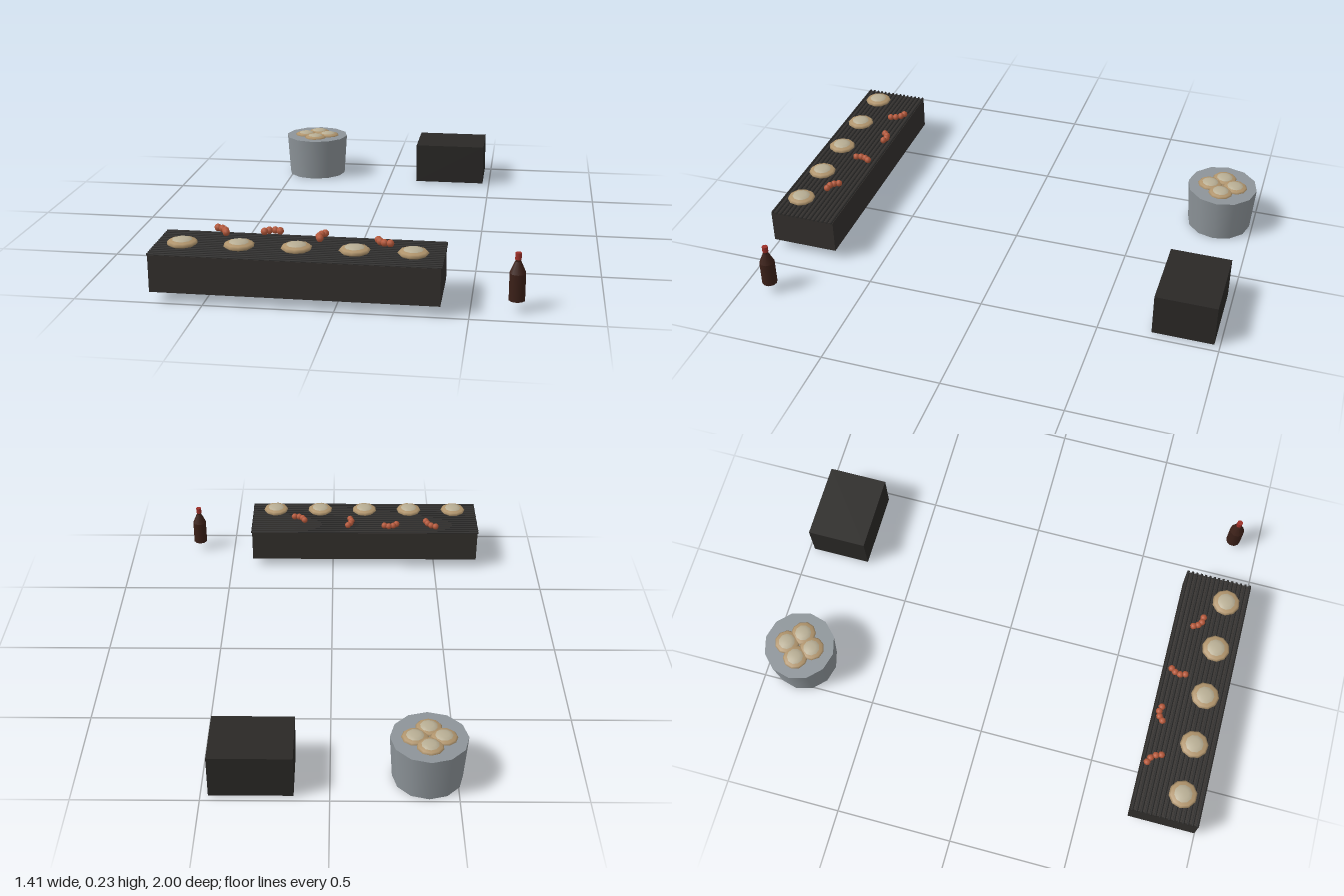
import * as THREE from 'three';

const mat = (color, flatShading = false) => {
  const m = new THREE.MeshStandardMaterial({ color });
  m.flatShading = flatShading;
  return m;
};
const MATS = {
  iron: mat(0x33302d),
  bars: mat(0x2b2a29),
  crate: mat(0x2a2826),
  steel: mat(0x8d9499),
  shell: mat(0xb0946c),
  meat: mat(0xb8ae94),
  shrimp: mat(0xb5583a),
  glass: mat(0x3b2018),
  cap: mat(0x9c2f28),
};

function part(parent, name, geometry, material, x = 0, y = 0, z = 0) {
  const mesh = new THREE.Mesh(geometry, material);
  mesh.name = name;
  mesh.position.set(x, y, z);
  parent.add(mesh);
  return mesh;
}

function group(parent, name, x = 0, y = 0, z = 0) {
  const g = new THREE.Group();
  g.name = name;
  g.position.set(x, y, z);
  parent.add(g);
  return g;
}

// Flat lens shell with a paler dome on top
const shellGeo = new THREE.SphereGeometry(0.06, 10, 6).scale(1, 0.27, 1);
const meatGeo = new THREE.SphereGeometry(0.043, 10, 6).scale(1, 0.33, 1);
function addOyster(parent, x, y, z, turn, size = 1) {
  const oyster = group(parent, 'oyster', x, y, z);
  oyster.rotation.y = turn;
  oyster.scale.setScalar(size);
  part(oyster, 'shell', shellGeo, MATS.shell);
  part(oyster, 'meat', meatGeo, MATS.meat, 0, 0.006, 0);
}

export function createModel() {
  const model = new THREE.Group();
  model.name = 'barbecueSet';

  // Grill: firebox with a row of bars along x
  const grill = group(model, 'grill', -0.155, 0, 0.85);
  part(grill, 'firebox', new THREE.BoxGeometry(1.1, 0.147, 0.29), MATS.iron, 0, 0.1155, 0);
  const barGeo = new THREE.CylinderGeometry(0.005, 0.005, 1.11, 6).rotateZ(Math.PI / 2);
  const barCount = 15;
  for (let i = 0; i < barCount; i++) {
    const z = -0.138 + (0.276 * i) / (barCount - 1);
    part(grill, 'grillBar', barGeo, MATS.bars, 0, 0.19, z);
  }

  // Oysters along the front of the grill
  for (let i = 0; i < 5; i++) addOyster(model, -0.595 + i * 0.22, 0.213, 0.9, i * 0.5);

  // Shrimp: short curved chains of beads
  const shrimpPaths = [
    [[-0.5, 0.725], [-0.479, 0.735], [-0.463, 0.755], [-0.455, 0.777]],
    [[-0.31, 0.748], [-0.294, 0.732], [-0.272, 0.726], [-0.251, 0.733]],
    [[-0.084, 0.798], [-0.09, 0.776], [-0.085, 0.754], [-0.073, 0.736]],
    [[0.14, 0.785], [0.15, 0.804], [0.167, 0.817], [0.19, 0.82]],
  ];
  const beadGeo = new THREE.SphereGeometry(0.015, 8, 6);
  for (const path of shrimpPaths) {
    const shrimp = group(model, 'shrimp');
    for (const [x, z] of path) part(shrimp, 'shrimpSegment', beadGeo, MATS.shrimp, x, 0.217, z);
  }

  // Tapered bucket topped with four oysters
  const bucket = group(model, 'bucket', -0.383, 0, -0.847);
  part(bucket, 'pail', new THREE.CylinderGeometry(0.153, 0.14, 0.194, 12), MATS.steel, 0, 0.097, 0);
  for (let i = 0; i < 4; i++) {
    const a = (i * Math.PI) / 2;
    addOyster(bucket, 0.056 * Math.cos(a), 0.193, 0.056 * Math.sin(a), a, 0.92);
  }

  // Crate
  part(model, 'crate', new THREE.BoxGeometry(0.33, 0.184, 0.257), MATS.crate, 0.304, 0.097, -0.848);

  // Bottle: body, shoulder, neck and cap
  const bottle = group(model, 'bottle', 0.671, 0.04, 0.883);
  part(bottle, 'bottleBody', new THREE.CylinderGeometry(0.032, 0.032, 0.107, 10), MATS.glass, 0, 0.0535, 0);
  part(bottle, 'bottleShoulder', new THREE.CylinderGeometry(0.012, 0.032, 0.045, 10), MATS.glass, 0, 0.1295, 0);
  part(bottle, 'bottleNeck', new THREE.CylinderGeometry(0.011, 0.011, 0.018, 10), MATS.glass, 0, 0.156, 0);
  part(bottle, 'bottleCap', new THREE.CylinderGeometry(0.0125, 0.0125, 0.026, 10), MATS.cap, 0, 0.173, 0);

  return model;
}
